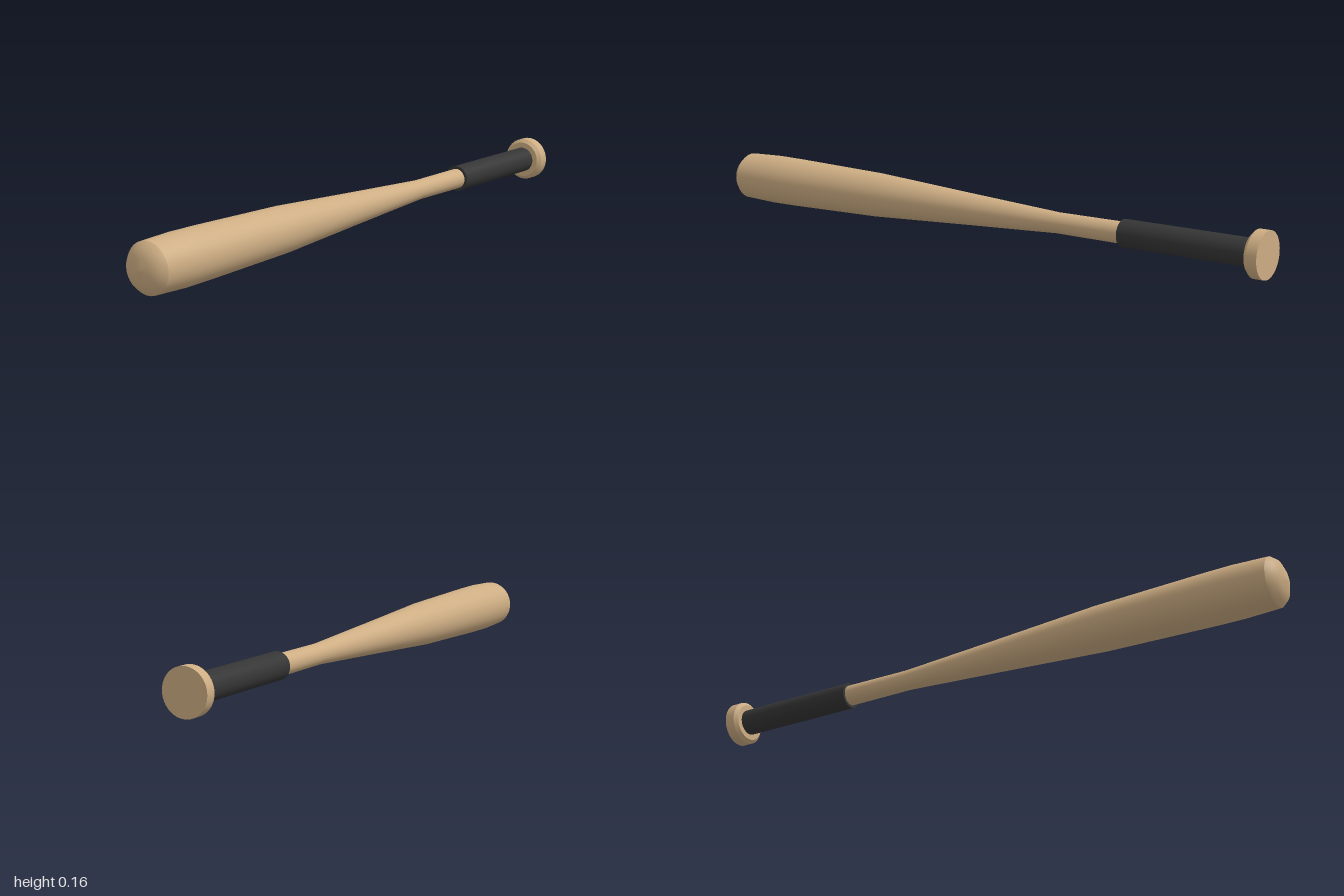
import * as THREE from 'three';

export function createModel() {
  const group = new THREE.Group();
  const wood = new THREE.MeshStandardMaterial({ color: 0xcdad83 });
  wood.name = 'wood';
  const grip = new THREE.MeshStandardMaterial({ color: 0x353535 });
  grip.name = 'dark grip';
  const RADIUS = 0.08;

  // Turned part: profile of [radius, z] pairs running from back to front
  function turned(name, material, profile) {
    const points = profile.map(([r, z]) => new THREE.Vector2(r, z));
    const geometry = new THREE.LatheGeometry(points, 48);
    geometry.rotateX(Math.PI / 2);
    const mesh = new THREE.Mesh(geometry, material);
    mesh.name = name;
    mesh.position.y = RADIUS;
    group.add(mesh);
  }

  // Thin neck swelling into the barrel
  turned('barrel', wood, [
    [0.033, -0.54], [0.032, -0.3], [0.051, 0.05], [0.071, 0.4],
    [0.079, 0.75], [0.08, 0.85], [0.076, 0.965],
  ]);

  // Domed tip
  turned('barrelTip', wood, [[0.076, 0.965], [0.062, 0.983], [0.036, 0.995], [0, 1]]);

  // Wrapped handle, with its front shoulder as a separate flat ring
  turned('handleGrip', grip, [[0.042, -0.96], [0.042, -0.53]]);
  turned('gripShoulder', grip, [[0.042, -0.53], [0.03, -0.53]]);

  // Knob: flat end, rim, bevel and inner face kept apart for crisp edges
  turned('knobEnd', wood, [[0, -1], [0.071, -1]]);
  turned('knobRim', wood, [[0.071, -1], [0.071, -0.966]]);
  turned('knobBevel', wood, [[0.071, -0.966], [0.06, -0.955]]);
  turned('knobInnerFace', wood, [[0.06, -0.955], [0.03, -0.955]]);

  return group;
}
